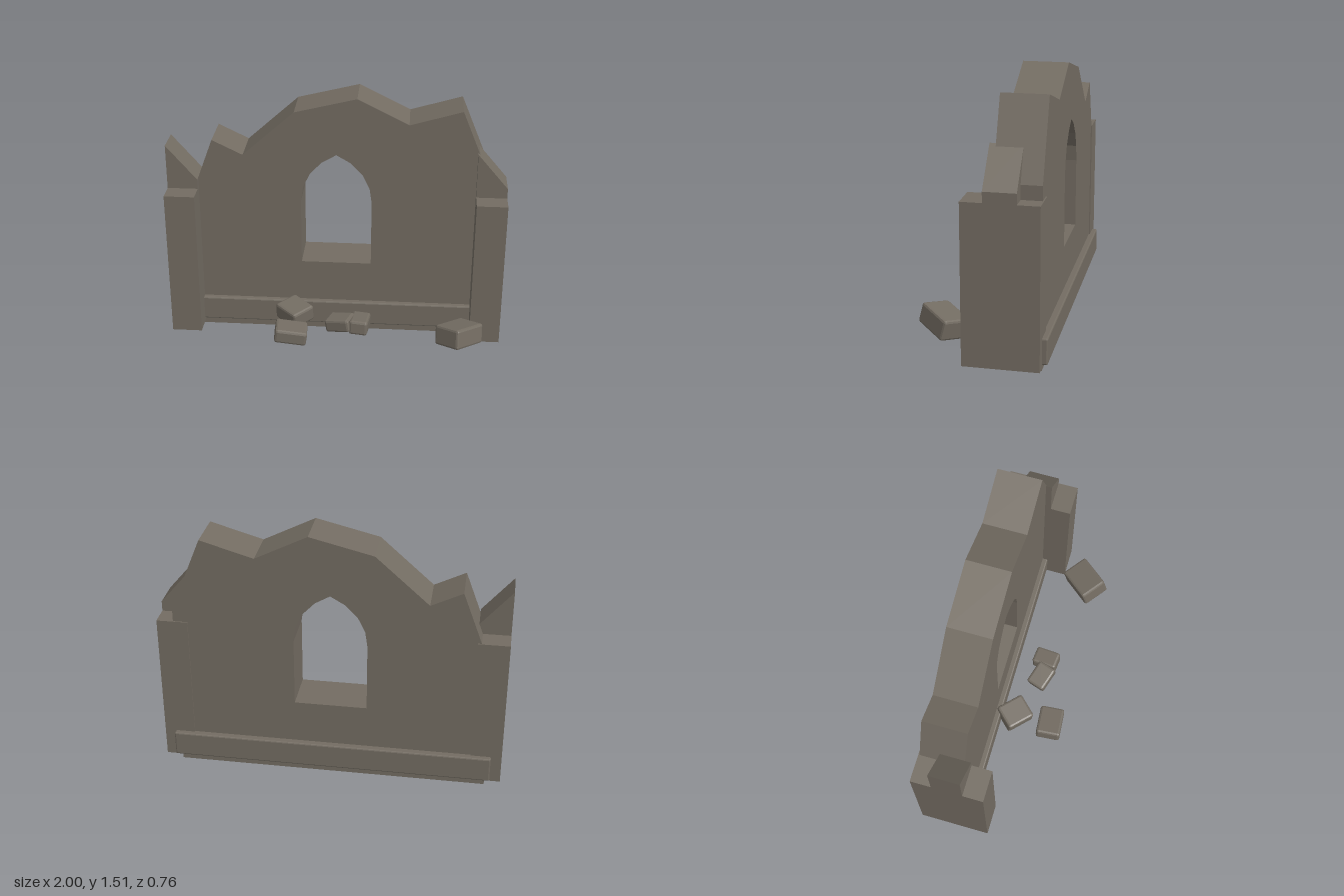
import * as THREE from 'three';
import { RoundedBoxGeometry } from 'three/addons/geometries/RoundedBoxGeometry.js';

const stone = new THREE.MeshStandardMaterial({ color: 0x736c62 });
stone.name = 'weathered stone';

const points = (list) => list.map(([x, y]) => new THREE.Vector2(x, y));

function add(parent, name, geometry, x = 0, y = 0, z = 0) {
  const mesh = new THREE.Mesh(geometry, stone);
  mesh.name = name;
  mesh.position.set(x, y, z);
  parent.add(mesh);
  return mesh;
}

// Upright slab cut from an outline, reaching forward from its back face
function slab(outline, depth, hole) {
  const shape = new THREE.Shape(points(outline));
  if (hole) shape.holes.push(new THREE.Path(points(hole)));
  return new THREE.ExtrudeGeometry(shape, { depth, bevelEnabled: false });
}

// Box with small flat chamfers
function chamferedBox(w, h, d, r) {
  const geometry = new RoundedBoxGeometry(w, h, d, 1, r);
  geometry.computeVertexNormals();
  return geometry;
}

export function createModel() {
  const model = new THREE.Group();
  model.name = 'ruinedWall';

  // Main wall with broken top and pointed window
  const halfArch = [[0.21, 0.46], [0.21, 0.865], [0.197, 0.957], [0.155, 1.045], [0.085, 1.118]];
  const arch = [
    ...halfArch,
    [0, 1.167],
    ...halfArch.map(([x, y]) => [-x, y]).reverse(),
  ];
  const wallOutline = [
    [-0.908, 0], [0.905, 0], [0.905, 1.02], [0.725, 1.455], [0.42, 1.365],
    [0.12, 1.515], [-0.245, 1.425], [-0.55, 1.152], [-0.73, 1.24], [-0.908, 0.765],
  ];
  add(model, 'wall', slab(wallOutline, 0.26, arch), 0, 0, -0.345);

  // Base course running through the wall
  add(model, 'baseCourse', chamferedBox(1.876, 0.15, 0.33, 0.008), 0, 0.125, -0.218);

  // End piers, each with a broken stump on top
  for (const [side, name] of [[1, 'leftPier'], [-1, 'rightPier']]) {
    const pier = new THREE.Group();
    pier.name = name;
    add(pier, 'pierShaft', new THREE.BoxGeometry(0.18, 0.907, 0.422), side * 0.91, 0.4865, -0.141);
    const x = side * 0.91;
    const stump = [[x - 0.09, 0.93], [x + 0.09, 0.93], [x + 0.09, 1.0], [x - 0.09, 1.21]];
    add(pier, 'pierStump', slab(stump, 0.18), 0, 0, -0.23);
    model.add(pier);
  }

  // Fallen stones: position, size, rotation
  const rubble = [
    [[-0.245, 0.172, 0.03], [0.178, 0.1, 0.158], [0.1, -0.76, 0]],
    [[-0.245, 0.165, 0.26], [0.19, 0.085, 0.15], [0, 0.08, -0.15]],
    [[0.04, 0.165, 0.125], [0.155, 0.08, 0.12], [0, -0.33, 0.2]],
    [[0.158, 0.163, 0.125], [0.11, 0.088, 0.155], [-0.08, -0.1, -0.05]],
    [[0.75, 0.178, 0.225], [0.175, 0.12, 0.235], [-0.25, -0.72, 0]],
  ];
  for (const [position, size, rotation] of rubble) {
    add(model, 'fallenStone', chamferedBox(...size, 0.014), ...position).rotation.set(...rotation);
  }

  return model;
}
